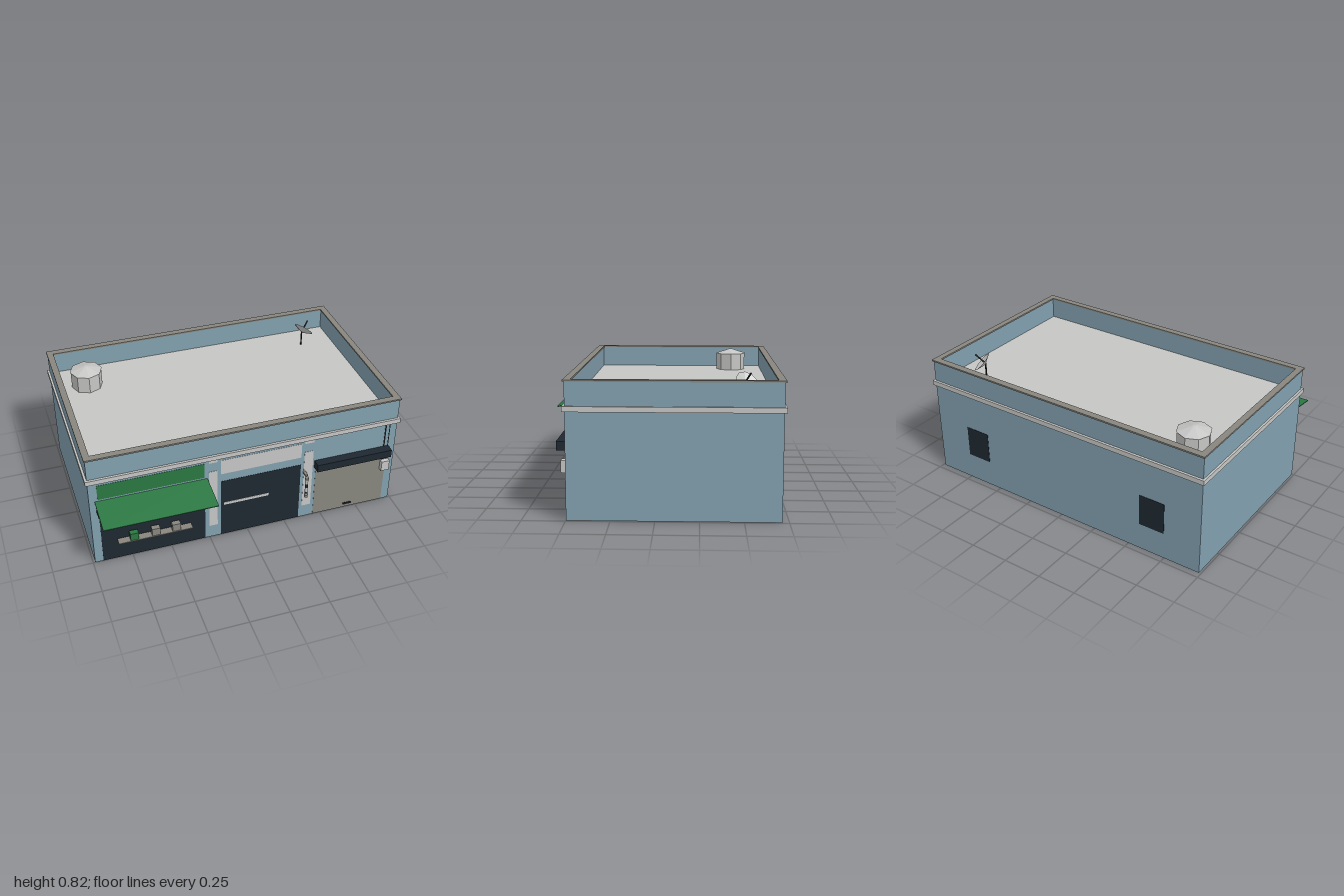
import * as THREE from 'three';

const mat = (name, color) => {
  const m = new THREE.MeshStandardMaterial({ color });
  m.name = name;
  return m;
};

export function createModel() {
  const wall = mat('blueWall', 0x82a0af);
  const pale = mat('paleConcrete', 0xc6c7c5);
  const trim = mat('greyTrim', 0x88867e);
  const dark = mat('darkGlass', 0x1e2831);
  const green = mat('green', 0x2b7842);
  const black = mat('blackMetal', 0x17191b);
  const dishMetal = mat('paleMetal', 0xc6c7c5);
  dishMetal.side = THREE.DoubleSide;

  const shop = new THREE.Group();
  shop.name = 'shop';
  const Z = 0.498; // front wall plane
  const MID = -0.1065; // depth centre of the building
  const ROOF = 0.65; // roof deck height

  const add = (name, geo, material, parent = shop) => {
    const m = new THREE.Mesh(geo, material);
    m.name = name;
    parent.add(m);
    return m;
  };
  // box given by its limits on each axis
  const box = (name, material, x0, x1, y0, y1, z0, z1) => {
    const m = add(name, new THREE.BoxGeometry(x1 - x0, y1 - y0, z1 - z0), material);
    m.position.set((x0 + x1) / 2, (y0 + y1) / 2, (z0 + z1) / 2);
    return m;
  };
  // thin plate on the front wall
  const plate = (name, material, x0, x1, y0, y1, t = 0.002) =>
    box(name, material, x0, x1, y0, y1, Z - 0.002, Z + t);
  // rectangular ring around the building
  const ring = (name, material, xo, zo, xi, zi, y0, y1) => {
    const rect = (S, x, z) => new S([[-x, -z], [x, -z], [x, z], [-x, z]].map(p => new THREE.Vector2(...p)));
    const s = rect(THREE.Shape, xo, zo);
    s.holes.push(rect(THREE.Path, xi, zi));
    const g = new THREE.ExtrudeGeometry(s, { depth: y1 - y0, bevelEnabled: false });
    g.rotateX(-Math.PI / 2).translate(0, y0, MID);
    return add(name, g, material);
  };
  // rod between two points
  const rod = (name, material, a, b, r) => {
    const p = new THREE.Vector3(...a), q = new THREE.Vector3(...b), d = q.clone().sub(p);
    const m = add(name, new THREE.CylinderGeometry(r, r, d.length(), 8), material);
    m.position.copy(p).add(q).multiplyScalar(0.5);
    m.quaternion.setFromUnitVectors(new THREE.Vector3(0, 1, 0), d.normalize());
    return m;
  };
  // flat facets for low-poly round parts
  const facet = g => {
    const f = g.toNonIndexed();
    f.computeVertexNormals();
    return f;
  };

  // Building shell: the top face of the block is the roof deck
  const shell = box('building', wall, -0.987, 0.987, 0, ROOF, MID - 0.605, MID + 0.605);
  shell.material = [wall, wall, pale, wall, wall, wall];
  ring('parapet', wall, 0.987, 0.605, 0.96, 0.578, ROOF, 0.787);
  ring('parapetCap', trim, 0.993, 0.6135, 0.953, 0.571, 0.786, 0.796);
  ring('cornice', pale, 1, 0.62, 0.98, 0.6, 0.618, 0.649);

  // Left shop window with sign and awning
  plate('shopWindow', dark, -0.935, -0.279, 0.002, 0.4);
  plate('greenSign', green, -0.935, -0.279, 0.49, 0.595);
  box('windowShutterBox', dark, -0.947, -0.27, 0.39, 0.443, Z, 0.554);
  const awning = add('awning', new THREE.BoxGeometry(0.692, 0.006, 0.23), green);
  awning.position.set(-0.607, 0.461, 0.609);
  awning.rotation.x = 0.138;

  // Display shelf with pots
  box('shelf', trim, -0.841, -0.375, 0.156, 0.163, 0.508, 0.557);
  [[-0.741, green], [-0.606, trim], [-0.477, trim]].forEach(([x, m]) =>
    box('shelfPot', m, x - 0.026, x + 0.026, 0.163, 0.214, 0.517, 0.552));

  // Middle door
  plate('door', dark, -0.177, 0.347, 0.002, 0.433);
  plate('doorSign', pale, -0.177, 0.347, 0.49, 0.595);
  plate('doorBar', pale, -0.156, 0.138, 0.243, 0.262, 0.004);

  // Pilasters
  for (const [a, b] of [[-0.252, -0.198], [0.368, 0.427]]) {
    plate('pilaster', pale, a, b, 0.092, 0.525);
    plate('pilasterTop', pale, a, b, 0.59, 0.62);
  }

  // Roller shutter
  plate('rollerShutter', trim, 0.448, 0.935, 0.002, 0.4);
  plate('shutterHandle', black, 0.662, 0.72, 0.021, 0.037, 0.004);
  box('rollerShutterBox', dark, 0.438, 0.943, 0.39, 0.443, Z, 0.554);

  // Striped pole on a bracket
  box('poleBracket', trim, 0.363, 0.381, 0.365, 0.376, Z, 0.54);
  const bands = [0.206, 0.225, 0.236, 0.252, 0.283, 0.312, 0.343, 0.36];
  [trim, pale, dark, pale, dark, pale, trim].forEach((m, i) =>
    rod('poleBand', m, [0.372, bands[i], 0.547], [0.372, bands[i + 1], 0.547], m === trim ? 0.013 : 0.01));

  // Meter box and flat conduits
  box('meterBox', pale, 0.898, 0.952, 0.265, 0.337, Z, 0.528);
  plate('conduit', black, 0.908, 0.917, 0.33, 0.62);
  plate('conduit', black, 0.937, 0.942, 0.33, 0.62);

  // Rear windows
  for (const s of [-1, 1])
    box('rearWindow', dark, s * 0.66 - 0.085, s * 0.66 + 0.085, 0.175, 0.38, MID - 0.607, MID - 0.6);

  // Roof water tank
  const tank = new THREE.Group();
  tank.name = 'waterTank';
  tank.position.set(-0.78, ROOF, -0.47);
  shop.add(tank);
  add('tankBody', facet(new THREE.CylinderGeometry(0.1, 0.1, 0.115, 8)), pale, tank).position.y = 0.0575;
  add('tankLid', facet(new THREE.CylinderGeometry(0.01, 0.105, 0.03, 8)), pale, tank).position.y = 0.13;

  // Satellite dish
  rod('dishPost', black, [0.74, ROOF, -0.504], [0.74, 0.75, -0.504], 0.005);
  rod('dishArm', black, [0.739, 0.75, -0.502], [0.793, 0.812, -0.534], 0.005);
  const profile = [[0.001, 0], [0.07, 0.028]].map(p => new THREE.Vector2(...p));
  const dish = add('satelliteDish', facet(new THREE.LatheGeometry(profile, 10)), dishMetal);
  dish.position.set(0.742, 0.742, -0.504);
  dish.quaternion.setFromUnitVectors(new THREE.Vector3(0, 1, 0), new THREE.Vector3(0.065, 0.07, -0.04).normalize());

  return shop;
}
